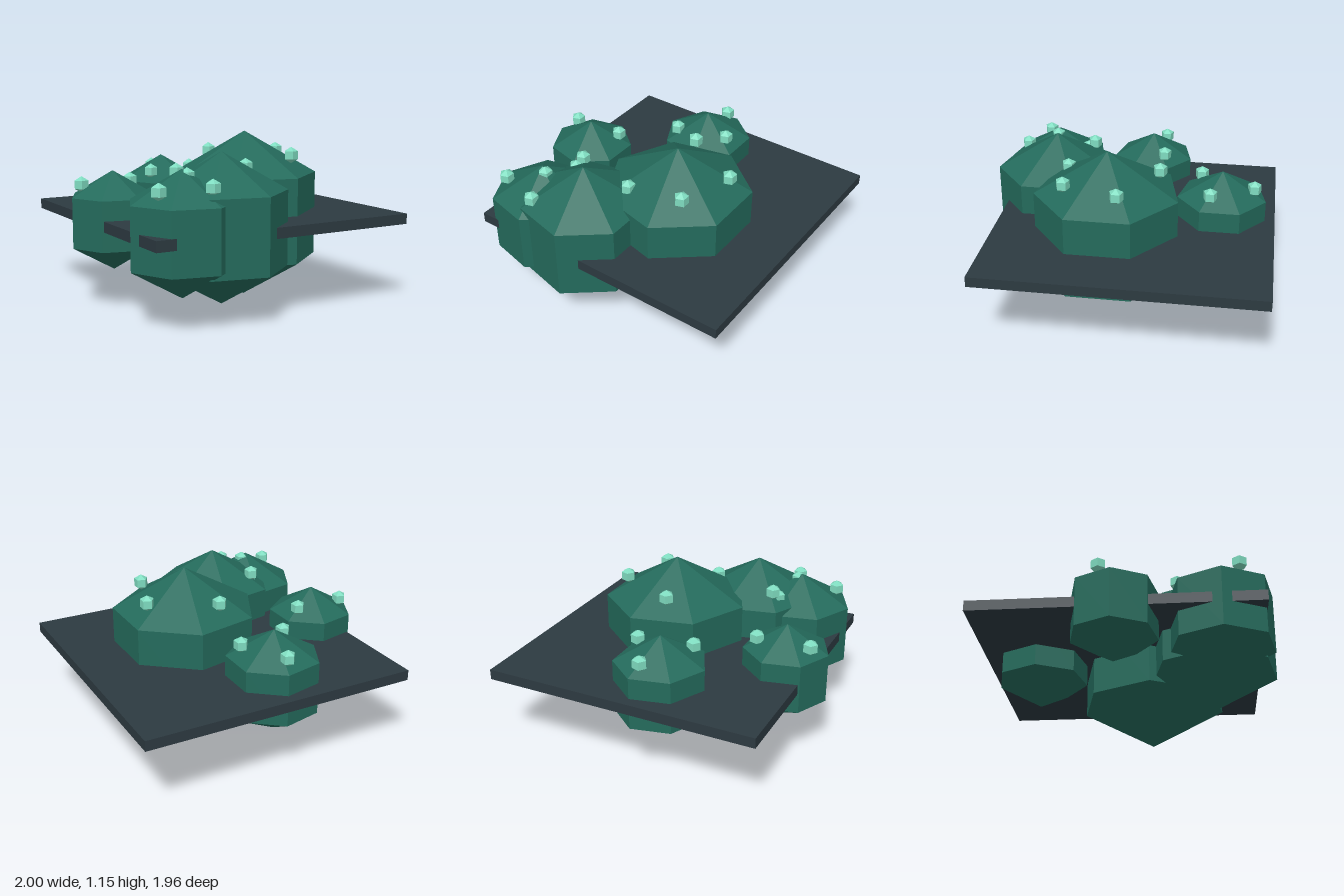
import * as THREE from 'three';

// Name, centre x, centre z, radius, and [x, y, z] of each bud
const PODS = [
  ['largePod', 0.19, 0.14, 0.573, [[0.10, 0.99, -0.20], [0.52, 0.99, 0.03], [0.40, 0.99, 0.40]]],
  ['frontPod', -0.25, 0.57, 0.49, [[0.01, 0.94, 0.44], [-0.47, 0.88, 0.84], [-0.45, 0.925, 0.34]]],
  ['cornerPod', -0.56, 0.62, 0.403, [[-0.78, 0.865, 0.74], [-0.47, 0.87, 0.39], [-0.53, 0.93, 0.63]]],
  ['sidePod', -0.711, -0.06, 0.333, [[-0.90, 0.815, -0.14], [-0.54, 0.82, -0.16]]],
  ['backPod', -0.07, -0.61, 0.357, [[-0.23, 0.83, -0.46], [0.13, 0.84, -0.54], [-0.04, 0.83, -0.83]]],
];
const MID_Y = 0.573;

export function createModel() {
  const material = (name, color) => {
    const m = new THREE.MeshStandardMaterial({ color, flatShading: true });
    m.name = name;
    return m;
  };
  const slate = material('slate', 0x2d3a41);
  const green = material('deepGreen', 0x246b5c);
  const mint = material('mint', 0x7fdcc0);

  const model = new THREE.Group();
  model.name = 'podCluster';
  const add = (parent, name, geometry, mat, x, y, z) => {
    const mesh = new THREE.Mesh(geometry, mat);
    mesh.name = name;
    mesh.position.set(x, y, z);
    parent.add(mesh);
  };

  // Square slab running through the middle of the pods
  add(model, 'slab', new THREE.BoxGeometry(1.88, 0.07, 1.88), slate, 0.06, 0.575, -0.04);

  // Seven-sided pods, each dotted with small five-sided buds
  const budGeometry = new THREE.SphereGeometry(0.055, 5, 3);
  for (const [name, x, z, radius, buds] of PODS) {
    const group = new THREE.Group();
    group.name = name;
    add(group, name + 'Body', new THREE.SphereGeometry(radius, 7, 3), green, x, MID_Y, z);
    buds.forEach(([bx, by, bz], i) => add(group, `${name}Bud${i + 1}`, budGeometry, mint, bx, by, bz));
    model.add(group);
  }
  return model;
}
